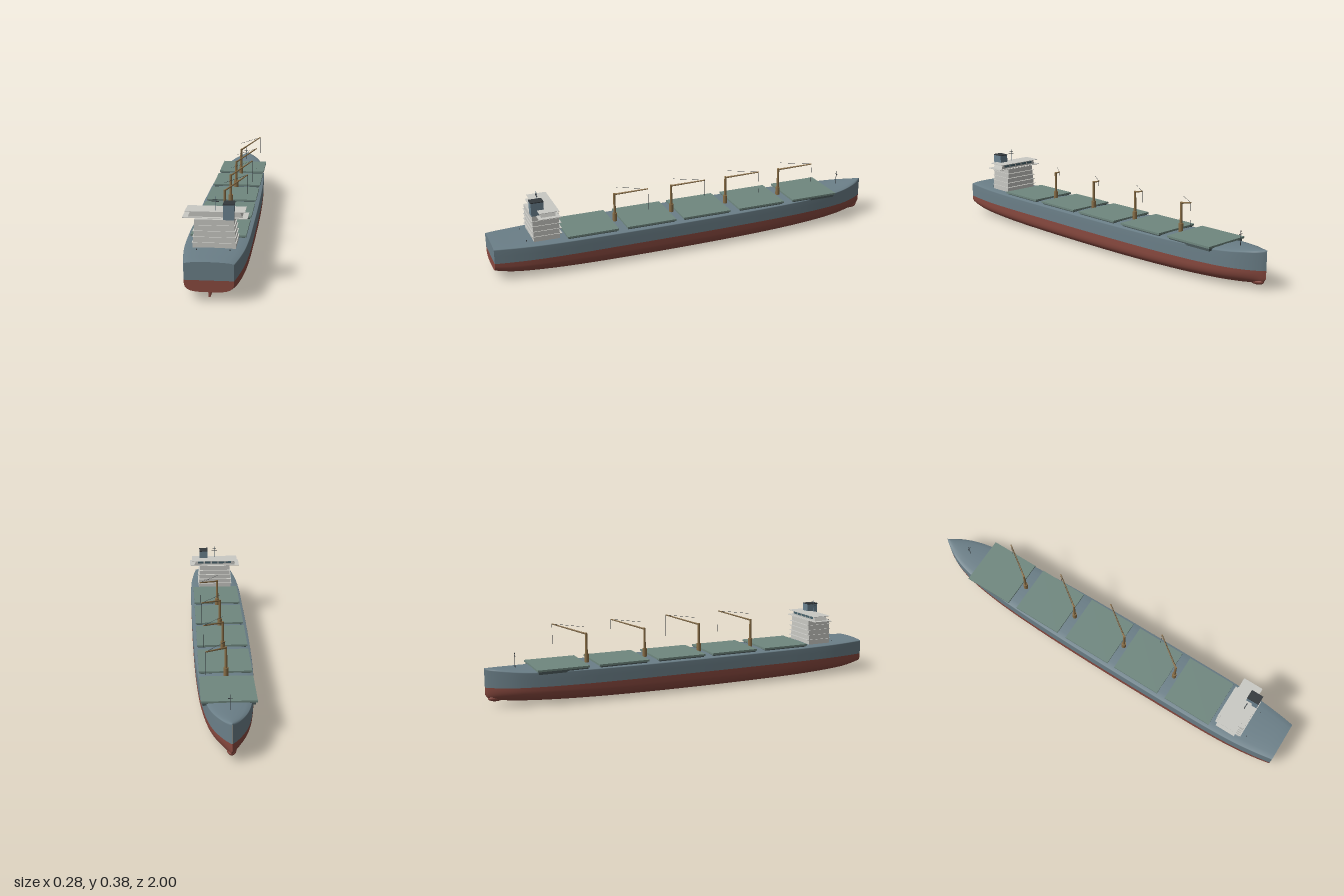
import * as THREE from 'three';

const mat = (color, side = THREE.FrontSide) => new THREE.MeshStandardMaterial({ color, side });
const M = {
  red: mat(0x8a4a40), hull: mat(0x6b7f88), hatch: mat(0x6f877f), coaming: mat(0x4a5859),
  crane: mat(0x8a6f47), white: mat(0xc9c9c4), funnel: mat(0x6b8290), dark: mat(0x33383c), glass: mat(0x48626c),
};
const WATERLINE = 0.09;

function add(parent, name, geometry, material, x = 0, y = 0, z = 0) {
  const mesh = new THREE.Mesh(geometry, material);
  mesh.name = name;
  mesh.position.set(x, y, z);
  parent.add(mesh);
  return mesh;
}

// box given by its extents
function box(parent, name, material, x0, x1, y0, y1, z0, z1) {
  return add(parent, name, new THREE.BoxGeometry(x1 - x0, y1 - y0, z1 - z0), material,
    (x0 + x1) / 2, (y0 + y1) / 2, (z0 + z1) / 2);
}

// round bar between two points
function bar(parent, name, material, a, b, r0, r1 = r0, sides = 10) {
  const from = new THREE.Vector3(...a), dir = new THREE.Vector3(...b).sub(from);
  const mesh = add(parent, name, new THREE.CylinderGeometry(r1, r0, dir.length(), sides), material);
  mesh.position.copy(from).addScaledVector(dir, 0.5);
  mesh.quaternion.setFromUnitVectors(new THREE.Vector3(0, 1, 0), dir.normalize());
  return mesh;
}

// box whose top is narrowed across x
function taperedBox(parent, name, material, bottom, top, y0, y1, z0, z1) {
  const mesh = box(parent, name, material, -bottom, bottom, y0, y1, z0, z1);
  const p = mesh.geometry.attributes.position;
  for (let i = 0; i < p.count; i++) if (p.getY(i) > 0) p.setX(i, p.getX(i) * top / bottom);
  mesh.geometry.computeVertexNormals();
  return mesh;
}

// hull stations: z, half beam, keel height, deck edge height, bilge fullness
const stations = [
  [-1, 0.001, 0.055, 0.176, 2], [-0.985, 0.014, 0.036, 0.175, 2], [-0.95, 0.037, 0.027, 0.172, 2.1],
  [-0.9, 0.062, 0.021, 0.168, 2.3], [-0.85, 0.08, 0.017, 0.164, 2.5], [-0.77, 0.098, 0.013, 0.16, 2.8],
  [-0.6, 0.119, 0.008, 0.158, 3.2], [-0.35, 0.132, 0.004, 0.157, 3.6], [0, 0.138, 0.002, 0.157, 3.8],
  [0.4, 0.138, 0.003, 0.157, 3.8], [0.65, 0.136, 0.007, 0.158, 3.6], [0.8, 0.129, 0.013, 0.159, 3.5],
  [0.9, 0.118, 0.02, 0.16, 3.5], [0.96, 0.109, 0.03, 0.161, 3.5], [1, 0.102, 0.04, 0.161, 3.5],
];
const beamCurve = new THREE.CatmullRomCurve3(stations.map(s => new THREE.Vector3(s[0], s[1], s[2])));
const deckCurve = new THREE.SplineCurve(stations.map(s => new THREE.Vector2(s[3], s[4])));

function station(t) {
  const a = beamCurve.getPoint(t), b = deckCurve.getPoint(t);
  return { z: a.x, w: a.y, keel: a.z, edge: b.x, n: b.y };
}

// underwater section, running from right waterline round the keel to the left
function lowerSection({ w, keel, n }) {
  const pts = [];
  for (let j = -14; j <= 14; j++) {
    const a = j / 14 * Math.PI / 2;
    const c = Math.max(Math.cos(a), 0);
    pts.push([Math.sign(j) * w * Math.abs(Math.sin(a)) ** (2 / n),
      WATERLINE - (WATERLINE - keel) * (Math.abs(j) === 14 ? 0 : c ** (2 / n))]);
  }
  return pts;
}

// topsides and cambered deck, running from left waterline over to the right
function upperSection({ w, edge }) {
  const half = [[w, WATERLINE], [w, 0.125], [w, edge - 0.004], [w * 0.99, edge], [w * 0.75, edge + 0.004],
    [w * 0.4, edge + 0.006]];
  return [...half, [0, edge + 0.007], ...half.map(([x, y]) => [-x, y]).reverse()];
}

function loft(section, steps = 84) {
  const pos = [], index = [];
  let cols = 0;
  for (let i = 0; i <= steps; i++) {
    const s = station(i / steps), pts = section(s);
    cols = pts.length;
    for (const [x, y] of pts) pos.push(x, y, s.z);
  }
  for (let i = 0; i < steps; i++) for (let j = 0; j < cols - 1; j++) {
    const a = i * cols + j, b = a + cols;
    index.push(a, a + 1, b, a + 1, b + 1, b);
  }
  const g = new THREE.BufferGeometry();
  g.setAttribute('position', new THREE.Float32BufferAttribute(pos, 3));
  g.setIndex(index);
  g.computeVertexNormals();
  return g;
}

function buildHull(ship) {
  const hull = new THREE.Group();
  hull.name = 'hull';
  ship.add(hull);
  for (const [part, section, m] of [['lower', lowerSection, M.red], ['upper', upperSection, M.hull]]) {
    add(hull, part + 'Hull', loft(section), m);
    const outline = section(station(1)).map(p => new THREE.Vector2(...p));
    add(hull, part + 'Transom', new THREE.ShapeGeometry(new THREE.Shape(outline)), m, 0, 0, 1);
  }
  add(hull, 'bulbousBow', new THREE.SphereGeometry(1, 20, 14), M.red, 0, 0.036, -0.95).scale.set(0.02, 0.016, 0.038);
  box(hull, 'rudder', M.red, -0.004, 0.004, 0.012, 0.05, 0.935, 0.98);
}

function buildCrane(ship, z) {
  const crane = new THREE.Group();
  crane.name = 'deckCrane';
  crane.position.z = z;
  ship.add(crane);
  const tip = [0.095, 0.345, -0.14];
  bar(crane, 'pedestal', M.crane, [0, 0.155, 0], [0, 0.205, 0], 0.011, 0.011, 14);
  bar(crane, 'post', M.crane, [0, 0.2, 0], [0, 0.307, 0], 0.0065, 0.0055, 12);
  bar(crane, 'boom', M.crane, [0, 0.302, 0], tip, 0.0045, 0.003, 8);
  bar(crane, 'toppingWire', M.dark, [0, 0.337, -0.01], tip, 0.0007, 0.0007, 5);
  bar(crane, 'hoistWire', M.dark, tip, [tip[0], 0.235, tip[2]], 0.0007, 0.0007, 5);
}

function buildHouse(ship) {
  const house = new THREE.Group();
  house.name = 'superstructure';
  ship.add(house);
  // stacked tiers with a thin ledge above each
  const floors = [0.16, 0.187, 0.212, 0.238, 0.263, 0.288];
  for (let i = 0; i < 5; i++) {
    const w = 0.091 - i * 0.002;
    box(house, 'tier', M.white, -w, w, floors[i], floors[i + 1], 0.685, 0.81);
    if (i < 4) box(house, 'tierLedge', M.white, -w - 0.003, w + 0.003,
      floors[i + 1] - 0.001, floors[i + 1] + 0.001, 0.674, 0.815);
  }
  box(house, 'bridgeWings', M.white, -0.138, 0.138, 0.287, 0.2895, 0.69, 0.79);
  taperedBox(house, 'bridge', M.white, 0.115, 0.105, 0.289, 0.313, 0.705, 0.775);
  box(house, 'bridgeRoof', M.white, -0.127, 0.127, 0.313, 0.315, 0.69, 0.785);
  for (let i = 0; i < 5; i++) {
    const x = (i - 2) * 0.039;
    box(house, 'bridgeWindow', M.glass, x - 0.016, x + 0.016, 0.297, 0.308, 0.7035, 0.706);
  }
  box(house, 'funnel', M.funnel, 0.038, 0.083, 0.288, 0.352, 0.752, 0.812);
  box(house, 'funnelCap', M.dark, 0.037, 0.084, 0.352, 0.356, 0.751, 0.813);
  bar(house, 'radarMast', M.funnel, [0, 0.314, 0.765], [0, 0.377, 0.765], 0.0015);
  box(house, 'lowerRadarArm', M.dark, -0.016, 0.016, 0.354, 0.356, 0.763, 0.767);
  box(house, 'upperRadarArm', M.dark, -0.01, 0.01, 0.363, 0.365, 0.763, 0.767);
}

export function createModel() {
  const ship = new THREE.Group();
  ship.name = 'cargoShip';
  buildHull(ship);

  // cargo hatches
  for (const [z0, z1] of [[-0.78, -0.53], [-0.48, -0.23], [-0.18, 0.07], [0.11, 0.36], [0.405, 0.655]]) {
    box(ship, 'hatchCoaming', M.coaming, -0.115, 0.115, 0.152, 0.167, z0 + 0.006, z1 - 0.006);
    box(ship, 'hatchCover', M.hatch, -0.122, 0.122, 0.166, 0.175, z0, z1);
  }
  for (const z of [-0.505, -0.205, 0.09, 0.385]) buildCrane(ship, z);
  buildHouse(ship);

  // foremast and mooring bollards
  bar(ship, 'foremast', M.dark, [0, 0.165, -0.855], [0, 0.242, -0.855], 0.0013);
  box(ship, 'foremastArm', M.dark, -0.01, 0.01, 0.224, 0.226, -0.856, -0.854);
  for (const x of [-0.07, 0.07]) bar(ship, 'bollard', M.dark, [x, 0.158, 0.84], [x, 0.169, 0.84], 0.002);
  return ship;
}
